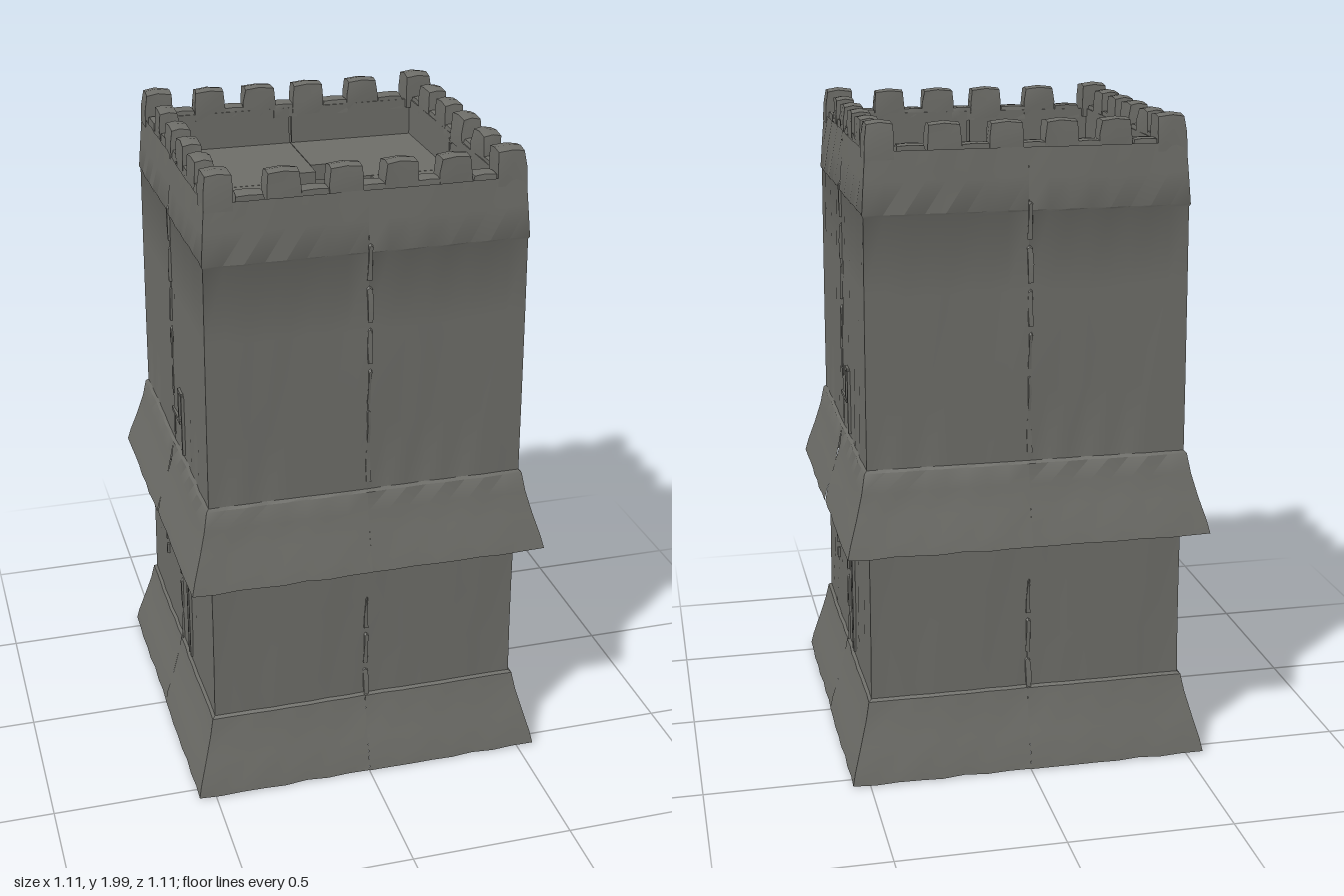
import * as THREE from 'three';
import { toCreasedNormals } from 'three/addons/utils/BufferGeometryUtils.js';

const stone = new THREE.MeshStandardMaterial({ color: 0x6d6d68, side: THREE.DoubleSide });
stone.name = 'weathered stone';

// Repeatable unevenness in the range -1..1
const wobble = (a, b = 0) => Math.sin(a * 12.9 + b * 7.3) * Math.cos(a * 4.7 - b * 9.1);

function add(parent, name, geometry, x = 0, y = 0, z = 0) {
  const mesh = new THREE.Mesh(geometry, stone);
  mesh.name = name;
  mesh.position.set(x, y, z);
  parent.add(mesh);
  return mesh;
}

// One corner of wall: profile [height, half width] swept along an L-shaped plan
function cornerShell(profile) {
  const N = 8, points = [], index = [];
  profile.forEach(([y, w], row) => {
    for (let i = 0; i <= 2 * N; i++) {
      const t = i <= N ? i / N : (2 * N - i) / N;
      const along = t * w;
      const out = w + (t < 1 ? 0.003 * wobble(i * 0.4, y * 2) : 0);
      const dy = row === 0 ? 0.003 * wobble(i * 0.5, 3) : 0;
      if (i <= N) points.push(along, y + dy, out);
      else points.push(out, y + dy, along);
    }
  });
  const cols = 2 * N + 1;
  for (let r = 0; r < profile.length - 1; r++) {
    for (let c = 0; c < 2 * N; c++) {
      const a = r * cols + c, b = a + 1, d = a + cols, e = d + 1;
      index.push(a, b, e, a, e, d);
    }
  }
  const g = new THREE.BufferGeometry();
  g.setAttribute('position', new THREE.Float32BufferAttribute(points, 3));
  g.setIndex(index);
  g.computeVertexNormals();
  return toCreasedNormals(g, 0.6);
}

// Rough block, narrower at the top
function block(w, h, d, seed) {
  const g = new THREE.BoxGeometry(w, h, d, 2, 2, 2), p = g.attributes.position;
  for (let i = 0; i < p.count; i++) {
    const x = p.getX(i), y = p.getY(i), z = p.getZ(i);
    const s = y > h * 0.4 ? 0.9 : 1;
    const n = wobble(x * 9 + seed, z * 9 + y * 5);
    const crown = y > h * 0.4 ? -0.05 * h * ((2 * x / w) ** 2 + (2 * z / d) ** 2) : 0;
    p.setXYZ(i, x * s + n * 0.004, y + crown, z * s + n * 0.003);
  }
  return toCreasedNormals(g, 0.6);
}

// Quarter floor with a notch, so that four of them leave a pinwheel hole
function quarterFloor(sizeX, sizeZ, depth, notchX, notchZ) {
  const s = new THREE.Shape();
  [[notchX, 0], [sizeX, 0], [sizeX, sizeZ], [0.002, sizeZ], [0.002, notchZ], [notchX, notchZ]]
    .forEach(([x, z], i) => (i ? s.lineTo(x, z) : s.moveTo(x, z)));
  return new THREE.ExtrudeGeometry(s, { depth, bevelEnabled: false }).rotateX(Math.PI / 2);
}

const lowerProfile = [[0.01, 0.553], [0.05, 0.545], [0.12, 0.525], [0.2, 0.503], [0.255, 0.492],
  [0.262, 0.483], [0.42, 0.481], [0.58, 0.48], [0.73, 0.48]];
const upperProfile = [[0.738, 0.553], [0.78, 0.543], [0.85, 0.521], [0.92, 0.502], [0.98, 0.491],
  [0.988, 0.483], [1.2, 0.482], [1.5, 0.48], [1.73, 0.478], [1.737, 0.482], [1.83, 0.475], [1.915, 0.468]];

function quarter(index) {
  const q = new THREE.Group();
  q.name = 'towerQuarter' + (index + 1);
  q.rotation.y = index * Math.PI / 2;
  add(q, 'lowerWall', cornerShell(lowerProfile));
  add(q, 'upperWall', cornerShell(upperProfile));
  add(q, 'roofFloor', quarterFloor(0.405, 0.405, 0.05, 0.15, 0.08), 0, 1.8);

  // Base floor only fills the strip between the two beams
  const alongX = index % 2 === 0;
  add(q, 'baseFloor', quarterFloor(alongX ? 0.48 : 0.2, alongX ? 0.2 : 0.48, 0.03, 0.15, 0.08), 0, 0.09);

  // Inner parapet walls
  add(q, 'parapetFront', new THREE.BoxGeometry(0.4, 0.15, 0.012), 0.204, 1.84, 0.406);
  add(q, 'parapetSide', new THREE.BoxGeometry(0.012, 0.15, 0.4), 0.406, 1.84, 0.204);

  // Battlements: tall merlons with low stones between them
  const tall = 0.1, low = 0.045, depth = 0.06, mid = 0.431;
  add(q, 'cornerMerlon', block(0.085, tall + 0.01, 0.085, 5), 0.426, 1.945, 0.426);
  [0.1, 0.26].forEach((x, i) => add(q, 'frontMerlon', block(0.1, tall, depth, i + 1), x, 1.942, mid));
  [0.06, 0.24].forEach((z, i) => add(q, 'sideMerlon', block(depth, tall, 0.1, i + 3), mid, 1.942, z));
  [0.02, 0.18, 0.345].forEach((x, i) =>
    add(q, 'frontCrenel', block(0.075, low, depth, i + 7), x, 1.908, mid));
  [0.15, 0.335].forEach((z, i) =>
    add(q, 'sideCrenel', block(depth, low, 0.085, i + 11), mid, 1.908, z));

  // Worn lips along the centre seam
  for (let i = 0; i < 12; i++) {
    const y = 0.3 + i * 0.128;
    if (y > 0.68 && y < 1.02) continue;
    add(q, 'seamChip', block(0.012, 0.11, 0.012, i), 0.004, y, 0.481);
  }
  return q;
}

// Raised scars on a side wall
function wallScars(turn) {
  const g = new THREE.Group();
  g.name = 'wallScars';
  g.rotation.y = turn;
  const scar = (y, z, h, w) => add(g, 'scar', new THREE.BoxGeometry(0.009, h, w), 0.486, y, z);
  scar(1.095, -0.05, 0.012, 0.12);
  scar(1.15, -0.095, 0.11, 0.012);
  scar(1.2, -0.115, 0.012, 0.05);
  scar(1.1, -0.14, 0.2, 0.012);
  scar(0.5, -0.125, 0.45, 0.008);
  scar(0.5, -0.152, 0.45, 0.008);
  for (let i = 0; i < 5; i++) scar(0.48 + i * 0.055, 0.21, 0.035, 0.01);
  return g;
}

export function createModel() {
  const tower = new THREE.Group();
  tower.name = 'stoneTower';
  for (let i = 0; i < 4; i++) tower.add(quarter(i));
  tower.add(wallScars(0), wallScars(Math.PI));

  // Storey floor, and the beams carrying the base strip
  add(tower, 'storeyFloor', new THREE.BoxGeometry(0.86, 0.02, 0.86), 0, 0.7, 0);
  for (const s of [-1, 1]) add(tower, 'baseBeam', new THREE.BoxGeometry(0.98, 0.1, 0.03), 0, 0.06, s * 0.2);
  return tower;
}
